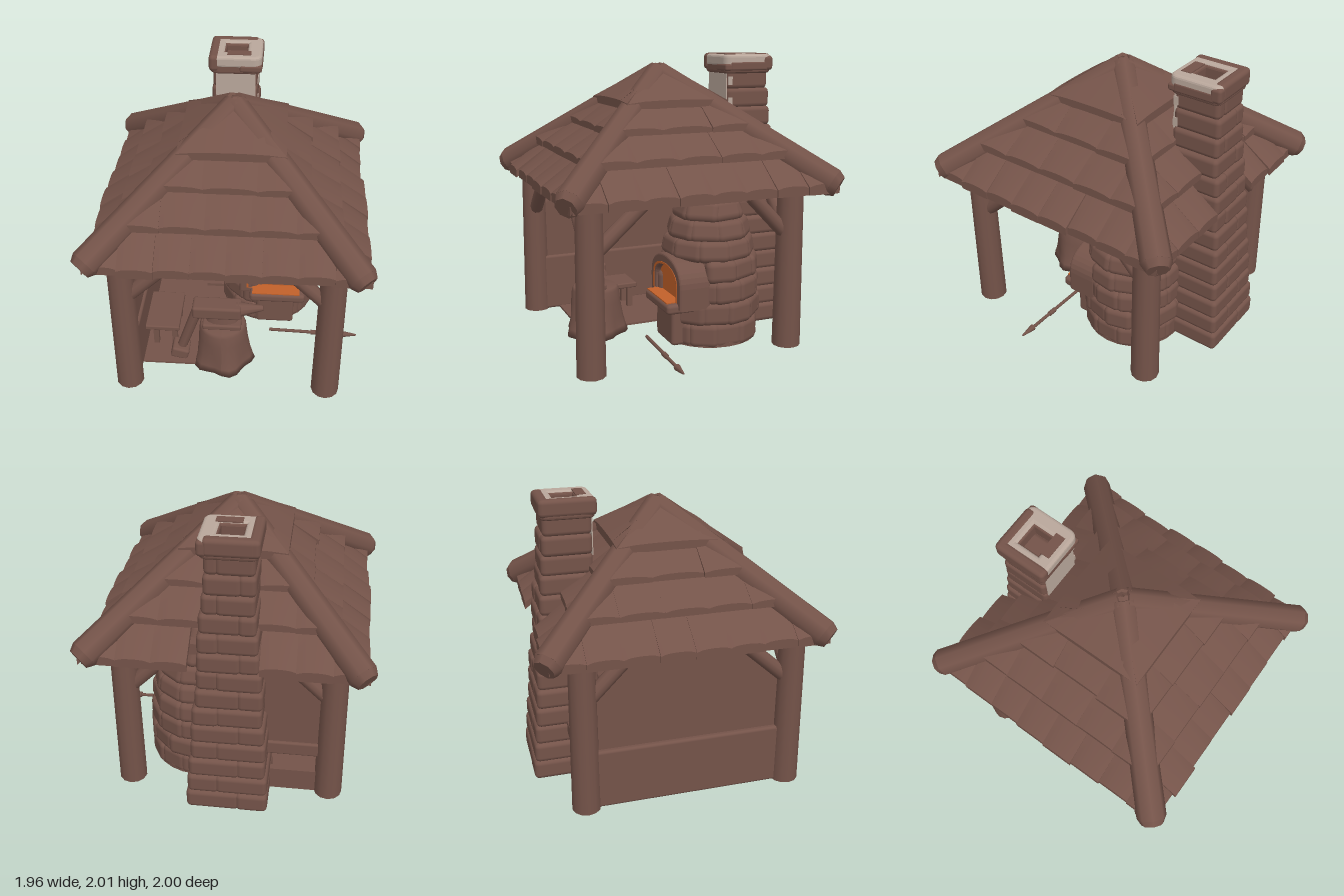
import * as THREE from 'three';
import { RoundedBoxGeometry } from 'three/addons/geometries/RoundedBoxGeometry.js';

export function createModel() {
  const root = new THREE.Group();
  root.name = 'forgeHut';
  const mat = (name, color) => {
    const m = new THREE.MeshStandardMaterial({ color });
    m.name = name;
    return m;
  };
  const brown = mat('earth brown', 0x745349);
  const ash = mat('pale ash', 0xb9a79b);
  const ember = mat('ember orange', 0xc2612a);

  let seed = 7;
  const jitter = (a) => {
    seed = (seed * 16807) % 2147483647;
    return (seed / 2147483647 - 0.5) * 2 * a;
  };
  const add = (name, geo, material = brown, parent = root) => {
    const m = new THREE.Mesh(geo, material);
    m.name = name;
    parent.add(m);
    return m;
  };
  // box given by its min and max corners, with optional rounding
  const box = (name, a, b, r = 0, material = brown) => {
    const s = [0, 1, 2].map((i) => b[i] - a[i]);
    const g = r ? new RoundedBoxGeometry(...s, 2, r) : new THREE.BoxGeometry(...s);
    const m = add(name, g, material);
    m.position.set(...a.map((v, i) => (v + b[i]) / 2));
    return m;
  };
  // round bar between two points
  const bar = (name, a, b, r0, r1 = r0, sides = 10) => {
    const p = new THREE.Vector3(...a), q = new THREE.Vector3(...b);
    const d = q.clone().sub(p);
    const m = add(name, new THREE.CylinderGeometry(r1, r0, d.length(), sides));
    m.position.copy(p).add(q).multiplyScalar(0.5);
    m.quaternion.setFromUnitVectors(new THREE.Vector3(0, 1, 0), d.normalize());
    return m;
  };
  const panel = (name, pts, depth) => add(name, new THREE.ExtrudeGeometry(
    new THREE.Shape(pts.map((p) => new THREE.Vector2(...p))), { depth, bevelEnabled: false }));

  // posts, braces and hip beams with chamfered ends
  for (const [ex, ez] of [[-0.87, -0.915], [0.89, -0.89], [-0.895, 0.88], [0.855, 0.91]]) {
    const sx = Math.sign(ex), sz = Math.sign(ez);
    const px = sx > 0 ? 0.695 : -0.71, pz = sz > 0 ? 0.745 : -0.69;
    bar('post', [px, 0, pz], [px, 1.2, pz], 0.098, 0.088, 12);
    bar('brace', [px, 0.77, pz], [sx * 0.32, 1.15, pz], 0.05);
    bar('brace', [px, 0.77, pz], [px, 1.15, sz * 0.32], 0.05);
    bar('hipBeam', [ex, 1.17, ez], [0, 1.865, 0], 0.1, 0.088, 8);
    bar('hipBeamEnd', [ex * 1.035, 1.147, ez * 1.035], [ex, 1.17, ez], 0.075, 0.1, 8);
  }
  // top plates
  for (const s of [-1, 1]) {
    box('topPlate', [-0.7, 1.12, s * 0.7 - 0.04], [0.7, 1.2, s * 0.7 + 0.04]);
    box('topPlate', [s * 0.7 - 0.04, 1.12, -0.7], [s * 0.7 + 0.04, 1.2, 0.7]);
  }

  // roof tiers: [outer reach, inner reach, outer top y, inner top y, thickness, tile count]
  const tiers = [
    [0.92, 0.62, 1.155, 1.375, 0.05, 8],
    [0.73, 0.45, 1.36, 1.54, 0.035, 5],
    [0.53, 0.3, 1.53, 1.69, 0.03, 3],
    [0.36, 0.01, 1.69, 1.93, 0.04, 1],
  ];
  const tile = (u0, u1, [dOut, dIn, yOut, yIn, th], lift) => {
    const g = new THREE.BoxGeometry(1, 1, 1, 6, 1, 2);
    const p = g.attributes.position;
    for (let i = 0; i < p.count; i++) {
      const s = p.getX(i) + 0.5, t = p.getZ(i) + 0.5; // t = 1 at the eave
      const d = dIn + (dOut + lift - dIn) * t;
      const u = THREE.MathUtils.clamp(u0 + (u1 - u0) * s, -d, d);
      const crown = lift * 0.3 + 0.018 * Math.sqrt(Math.sin(Math.PI * Math.min(s, 0.9999))) * t;
      const y = yIn + (yOut - yIn) * t + (p.getY(i) > 0 ? crown : -th);
      p.setXYZ(i, u, y, d);
    }
    g.computeVertexNormals();
    return g;
  };
  for (let side = 0; side < 4; side++) {
    const slope = new THREE.Group();
    slope.name = 'roofSlope';
    slope.rotation.y = side * Math.PI / 2;
    root.add(slope);
    tiers.forEach((t, row) => {
      const n = t[5], w = 2 * t[0] / n;
      for (let k = 0; k < n; k++) {
        const u = -t[0] + k * w;
        // leave room for the chimney at the back
        if (side === 2 && row === 0 && Math.abs(u + w / 2) < 0.2) continue;
        add('roofTile', tile(u - 0.001, u + w + 0.001, t, jitter(0.014)), brown, slope);
      }
    });
  }

  // chimney: tapering courses of two rounded stones each
  const courses = 14, ch = 1.88 / courses;
  for (let k = 0; k < courses; k++) {
    const f = Math.min(1, (k + 0.5) / courses * 1.05), y = k * ch;
    const x0 = -0.312 + 0.127 * f, x1 = 0.26 - 0.13 * f;
    const z0 = -0.985 + 0.165 * f, z1 = -0.49;
    const cut = (x0 + x1) / 2 + (k % 2 ? 0.07 : -0.07);
    box('chimneyStone', [x0 + jitter(0.008), y, z0], [cut + 0.012, y + ch + 0.01, z1], 0.034);
    box('chimneyStone', [cut - 0.012, y, z0 + jitter(0.008)], [x1 + jitter(0.008), y + ch + 0.01, z1], 0.034);
  }
  box('ashPatchFront', [-0.17, 1.6, -0.491], [0.115, 1.86, -0.484], 0, ash);
  for (const y of [1.63, 1.78])
    box('ashPatchSide', [0.13, y, -0.525], [0.137, y + 0.06, -0.492], 0, ash);

  // chimney cap: square rings round a flue, ash settled on the upper one
  const ring = (h, hole) => {
    const s = new THREE.Shape(), c = 0.04;
    s.moveTo(-h + c, -h).lineTo(h - c, -h).quadraticCurveTo(h, -h, h, -h + c)
      .lineTo(h, h - c).quadraticCurveTo(h, h, h - c, h)
      .lineTo(-h + c, h).quadraticCurveTo(-h, h, -h, h - c)
      .lineTo(-h, -h + c).quadraticCurveTo(-h, -h, -h + c, -h);
    s.holes.push(new THREE.Path([[-1, -1], [-1, 1], [1, 1], [1, -1]]
      .map(([a, b]) => new THREE.Vector2(a * hole, b * hole))));
    return s;
  };
  const cap = (name, y0, y1, half, hole, material) => {
    const m = add(name, new THREE.ExtrudeGeometry(ring(half, hole),
      { depth: y1 - y0 - 0.04, bevelThickness: 0.02, bevelSize: 0.022, bevelSegments: 3 }), material);
    m.rotation.x = -Math.PI / 2;
    m.position.set(-0.03, y0 + 0.02, -0.65);
  };
  cap('chimneyCap', 1.86, 1.985, 0.163, 0.096, brown);
  cap('capAsh', 1.91, 1.994, 0.167, 0.104, ash);
  box('capBareSide', [-0.222, 1.88, -0.842], [-0.146, 2.0, -0.456], 0.03);
  box('capBareBack', [-0.2, 1.88, -0.844], [0.13, 2.0, -0.765], 0.03);
  box('capBareCorner', [0.09, 1.88, -0.842], [0.164, 1.985, -0.76], 0.025);
  box('capBareRight', [0.12, 1.88, -0.8], [0.163, 1.945, -0.5], 0.015);
  box('capBareFront', [0.0, 1.88, -0.52], [0.16, 1.93, -0.457], 0.015);
  box('capBareTop', [-0.09, 1.99, -0.575], [0.08, 1.998, -0.505]);

  // furnace: core with rings of rounded stones
  const fx = 0.25, fz = -0.29;
  const rows = [[0, 0.16, 0.352], [0.16, 0.31, 0.358], [0.31, 0.46, 0.35], [0.46, 0.6, 0.338],
    [0.6, 0.73, 0.315], [0.73, 0.86, 0.278], [0.86, 0.99, 0.225], [0.99, 1.13, 0.15]];
  const profile = rows.map(([a, b, r]) => new THREE.Vector2(r - 0.045, (a + b) / 2));
  const core = add('furnaceCore', new THREE.LatheGeometry(
    [new THREE.Vector2(0, 0), new THREE.Vector2(0.34, 0), ...profile, new THREE.Vector2(0, 1.14)], 24));
  core.position.set(fx, 0, fz);
  rows.forEach(([a, b, r], k) => {
    const n = Math.max(6, Math.round(2 * Math.PI * r / 0.19));
    for (let i = 0; i < n; i++) {
      const ang = (i + (k % 2) / 2) / n * Math.PI * 2;
      const off = Math.atan2(Math.sin(ang - 0.18), Math.cos(ang - 0.18));
      if ((k === 2 || k === 3) && Math.abs(off) < 0.7) continue; // fire mouth
      const w = 2 * Math.tan(Math.PI / n) * r + 0.025;
      const m = add('furnaceStone', new RoundedBoxGeometry(w, b - a + 0.02, 0.12, 3, 0.045));
      const d = r - 0.055 + jitter(0.008);
      m.position.set(fx + Math.sin(ang) * d, (a + b) / 2, fz + Math.cos(ang) * d);
      m.rotation.set([0, 0, 0, -0.08, -0.18, -0.28, -0.38, -0.42][k], ang, 0, 'YXZ');
    }
  });
  // solid footing joining furnace and chimney
  bar('footing', [fx, 0, fz], [fx, 0.03, fz], 0.355, 0.355, 24);
  box('footingLink', [-0.25, 0, -0.62], [0.3, 0.04, -0.3]);

  // fire mouth: arched frame, glowing back and rim, sill on a support
  const arch = (Path, w, y0, h) => {
    const s = new Path();
    s.moveTo(-w, y0).lineTo(w, y0).lineTo(w, y0 + h * 0.45);
    s.bezierCurveTo(w, y0 + h * 0.85, w * 0.5, y0 + h, 0, y0 + h);
    s.bezierCurveTo(-w * 0.5, y0 + h, -w, y0 + h * 0.85, -w, y0 + h * 0.45);
    return s;
  };
  const archRing = (outer, inner) => {
    const s = arch(THREE.Shape, ...outer);
    s.holes.push(arch(THREE.Path, ...inner));
    return s;
  };
  const frame = add('mouthArch', new THREE.ExtrudeGeometry(archRing([0.25, 0.3, 0.31], [0.187, 0.32, 0.235]),
    { depth: 0.19, bevelThickness: 0.02, bevelSize: 0.015, bevelSegments: 3, curveSegments: 10 }));
  frame.position.set(0.305, 0, -0.14);
  const rim = add('glowingRim', new THREE.ExtrudeGeometry(archRing([0.212, 0.335, 0.23], [0.196, 0.336, 0.213]),
    { depth: 0.009, bevelEnabled: false }), ember);
  rim.position.set(0.305, 0, 0.065);
  const glow = add('fireGlow', new THREE.ShapeGeometry(arch(THREE.Shape, 0.2, 0.32, 0.25)), ember);
  glow.position.set(0.305, 0, 0.035);
  box('mouthSill', [0.12, 0.26, -0.1], [0.54, 0.332, 0.15], 0.025);
  box('sillEmbers', [0.14, 0.331, 0.0], [0.5, 0.339, 0.14], 0, ember);
  box('sillSupport', [0.17, 0, -0.05], [0.46, 0.28, 0.08], 0.025);

  // stump with flared roots
  const stumpGeo = new THREE.LatheGeometry([[0, 0], [0.215, 0], [0.203, 0.05], [0.19, 0.12], [0.178, 0.24],
    [0.17, 0.325], [0.155, 0.345], [0, 0.352]].map((p) => new THREE.Vector2(...p)), 24);
  const sp = stumpGeo.attributes.position;
  for (let i = 0; i < sp.count; i++) {
    const k = 1 + 0.1 * Math.cos(5 * Math.atan2(sp.getZ(i), sp.getX(i))) * Math.max(0, 1 - sp.getY(i) / 0.25);
    sp.setXYZ(i, sp.getX(i) * k, sp.getY(i), sp.getZ(i) * k);
  }
  stumpGeo.computeVertexNormals();
  add('stump', stumpGeo).position.set(-0.055, 0, 0.47);

  // anvil
  box('anvilBase', [-0.2, 0.34, 0.425], [0.08, 0.385, 0.565], 0.015);
  const waist = add('anvilWaist', new THREE.CylinderGeometry(0.1, 0.12, 0.1, 12));
  waist.scale.z = 0.5;
  waist.position.set(-0.06, 0.41, 0.495);
  box('anvilFace', [-0.27, 0.44, 0.425], [0.08, 0.542, 0.565], 0.02);
  bar('anvilHorn', [0.05, 0.488, 0.495], [0.235, 0.515, 0.495], 0.058, 0.02);

  // hammer leaning on the stump
  bar('hammerHandle', [-0.375, 0.05, 0.47], [-0.235, 0.47, 0.47], 0.036, 0.04, 8);
  const head = box('hammerHead', [-0.44, 0.012, 0.4], [-0.31, 0.1, 0.54], 0.018);
  head.rotation.z = -0.25;

  // low bench
  box('benchTop', [-0.65, 0.172, 0.02], [-0.39, 0.212, 0.42], 0.01);
  for (const z of [0.07, 0.37]) for (const x of [-0.57, -0.43])
    box('benchLeg', [x - 0.02, 0, z - 0.02], [x + 0.02, 0.18, z + 0.02]);

  // closed side wall, partial back wall and floor
  const wall = panel('sideWall', [[-0.66, 0.4], [0.7, 0.4], [0.7, 0.82], [0.33, 1.13], [-0.33, 1.13], [-0.66, 0.82]], 0.05);
  wall.rotation.y = -Math.PI / 2;
  wall.position.x = -0.66;
  box('sideWallBase', [-0.745, 0, -0.66], [-0.64, 0.43, 0.7], 0.02);
  panel('backWall', [[-0.66, 0.4], [-0.18, 0.4], [-0.18, 1.12], [-0.3, 1.12], [-0.66, 0.82]], 0.04).position.z = -0.71;
  box('backRail', [-0.66, 0.325, -0.73], [-0.18, 0.43, -0.64], 0.015);
  box('backKickBoard', [-0.66, 0, -0.71], [-0.2, 0.17, -0.66]);
  box('floor', [-0.68, 0, -0.66], [-0.05, 0.015, 0.58]);

  // poker lying on the ground
  bar('pokerRod', [0.28, 0.03, 0.2], [0.86, 0.022, 0.21], 0.012, 0.012, 8);
  bar('pokerCollar', [0.6, 0.024, 0.205], [0.66, 0.024, 0.206], 0.018, 0.018, 8);
  bar('pokerTip', [0.84, 0.024, 0.21], [0.95, 0.024, 0.212], 0.024, 0.006, 8);
  return root;
}
